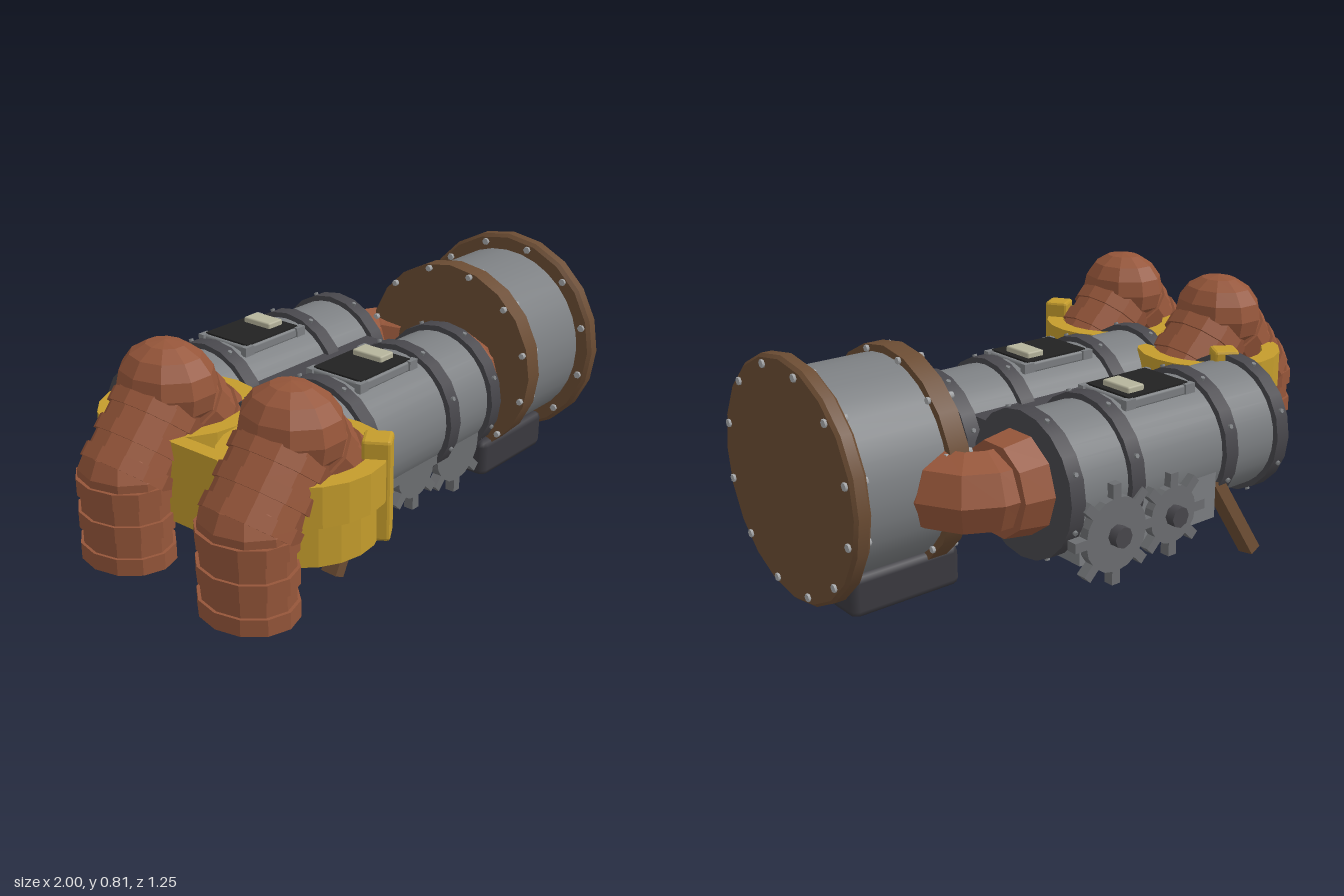
import * as THREE from 'three';
import { RoundedBoxGeometry } from 'three/addons/geometries/RoundedBoxGeometry.js';

const mat = (name, color, flat) => {
  const m = new THREE.MeshStandardMaterial({ color, flatShading: !!flat });
  m.name = name;
  return m;
};

export function createModel() {
  const root = new THREE.Group();
  root.name = 'twinTankMachine';
  const steel = mat('steel grey', 0x7c7f82);
  const dark = mat('dark iron', 0x48474c);
  const brown = mat('brown iron', 0x6b4c33);
  const copper = mat('copper', 0x96563a, true);
  const yellow = mat('yellow clamp', 0xc49c2c, true);
  const black = mat('black panel', 0x222222);
  const beige = mat('beige screen', 0xb6b49c);
  const bolt = mat('bolt silver', 0xa6a8aa);
  const gearGrey = mat('gear grey', 0x6c6e71, true);
  const foot = mat('charcoal', 0x3a393f);

  const add = (name, geo, m, parent = root) => {
    const mesh = new THREE.Mesh(geo, m);
    mesh.name = name;
    parent.add(mesh);
    return mesh;
  };
  const box = (name, x0, x1, y0, y1, z0, z1, m, r = 0) => {
    const s = [x1 - x0, y1 - y0, z1 - z0];
    const g = r ? new RoundedBoxGeometry(...s, 1, r) : new THREE.BoxGeometry(...s);
    g.translate((x0 + x1) / 2, (y0 + y1) / 2, (z0 + z1) / 2);
    return add(name, g, m);
  };
  // cylinder lying along x
  const cylX = (name, x0, x1, y, z, r0, r1, m, sides = 20) => {
    const g = new THREE.CylinderGeometry(r1, r0, x1 - x0, sides);
    g.rotateZ(-Math.PI / 2).translate((x0 + x1) / 2, y, z);
    return add(name, g, m);
  };
  // geometry made along y, laid from point a to point b
  const between = (name, geo, a, b, m, parent) => {
    const mesh = add(name, geo, m, parent);
    const d = b.clone().sub(a).normalize();
    mesh.quaternion.setFromUnitVectors(new THREE.Vector3(0, 1, 0), d);
    mesh.position.copy(a).add(b).multiplyScalar(0.5);
    return mesh;
  };
  const V = (x, y, z = 0) => new THREE.Vector3(x, y, z);

  // Twin tanks with rings, bolts and top panels
  const TY = 0.37;
  for (const z of [0.135, -0.355]) {
    cylX('tankBody', -0.5, 0.42, TY, z, 0.215, 0.215, steel, 32);
    for (const x of [-0.485, -0.245, 0.16, 0.398]) {
      cylX('tankRing', x - 0.027, x + 0.027, TY, z, 0.235, 0.235, dark, 20);
      for (let i = 0; i < 8; i++) {
        const a = ((i + 0.5) / 8) * Math.PI * 2;
        const g = new THREE.CylinderGeometry(0.008, 0.008, 0.012, 6);
        g.translate(0, 0.236, 0).rotateX(a).translate(x, TY, z);
        add('ringBolt', g, steel);
      }
    }
    box('panelFrame', -0.18, 0.095, 0.555, 0.59, z - 0.105, z + 0.105, steel, 0.008);
    for (const sx of [-0.17, 0.085]) for (const sz of [-0.1, 0.1])
      box('panelEar', sx - 0.02, sx + 0.02, 0.56, 0.592, z + sz - 0.012, z + sz + 0.012, steel);
    box('panelFace', -0.17, 0.082, 0.587, 0.596, z - 0.097, z + 0.097, black);
    box('panelScreen', -0.01, 0.058, 0.59, 0.615, z - 0.07, z + 0.05, beige, 0.006);
  }
  box('tankBridge', -0.44, 0.37, 0.2, 0.495, -0.22, 0.0, dark);
  box('gearMount', -0.2, 0.37, 0.16, 0.37, -0.562, -0.4, steel);

  // Gears on both outer sides
  const gear = (x, y, z, r, depth) => {
    const g = new THREE.Group();
    g.name = 'gear';
    g.position.set(x, y, z);
    add('gearDisc', new THREE.CylinderGeometry(r, r, depth, 16).rotateX(Math.PI / 2), gearGrey, g);
    for (let i = 0; i < 8; i++) {
      const t = new THREE.BoxGeometry(0.032, 0.06, depth);
      t.translate(0, r + 0.012, 0).rotateZ((i * Math.PI) / 4);
      add('gearTooth', t, gearGrey, g);
    }
    root.add(g);
  };
  for (const [x, r] of [[0.018, 0.095], [0.253, 0.12]]) {
    gear(x, 0.24, -0.577, r, 0.035);
    add('gearHub', new THREE.CylinderGeometry(0.034, 0.034, 0.05, 8)
      .rotateX(Math.PI / 2).translate(x, 0.24, -0.602), dark);
    gear(x, 0.24, 0.3, r, 0.035);
  }

  // Prop legs
  for (const [z0, z1] of [[0.275, 0.28], [-0.578, -0.53]])
    between('propLeg', new THREE.BoxGeometry(0.042, 0.3, 0.06), V(-0.355, 0.015, z0), V(-0.225, 0.265, z1), brown);

  // Copper couplings into the drum
  cylX('frontCoupling', 0.42, 0.525, 0.38, 0.135, 0.165, 0.16, copper, 10);
  cylX('frontCouplingNeck', 0.52, 0.6, 0.39, 0.115, 0.145, 0.13, copper, 8);
  cylX('backCoupling', 0.42, 0.525, 0.38, -0.355, 0.165, 0.15, copper, 10);
  const elbow = new THREE.CatmullRomCurve3([
    V(0.48, 0.38, -0.355), V(0.55, 0.38, -0.355), V(0.62, 0.38, -0.31), V(0.65, 0.38, -0.2)]);
  add('backElbow', new THREE.TubeGeometry(elbow, 4, 0.128, 8), copper);

  // Large drum with bolted flanges
  const DY = 0.405, DZ = 0.035;
  cylX('drumBody', 0.6, 0.96, DY, DZ, 0.325, 0.325, steel, 32);
  cylX('innerFlange', 0.572, 0.64, DY, DZ, 0.35, 0.35, brown);
  cylX('outerFlange', 0.935, 0.947, DY, DZ, 0.372, 0.384, brown);
  cylX('outerFlangeRim', 0.947, 0.982, DY, DZ, 0.384, 0.384, brown);
  cylX('outerFlangeEdge', 0.982, 0.992, DY, DZ, 0.384, 0.374, brown);
  for (let i = 0; i < 12; i++) {
    const a = ((i + 0.5) / 12) * Math.PI * 2, c = Math.cos(a), s = Math.sin(a);
    cylX('outerBolt', 0.925, 1.0, DY + c * 0.353, DZ + s * 0.353, 0.013, 0.013, bolt, 6);
    cylX('innerBolt', 0.557, 0.65, DY + c * 0.335, DZ + s * 0.335, 0.011, 0.011, bolt, 6);
  }
  box('drumFoot', 0.52, 0.91, 0, 0.14, -0.17, 0.25, foot, 0.025);

  // Ribbed exhaust pipes
  for (const z of [-0.093, 0.403]) {
    const pipe = new THREE.Group();
    pipe.name = 'exhaustPipe';
    pipe.position.z = z;
    pipe.scale.z = 1.18;
    root.add(pipe);
    const leg = (a, b, n) => {
      for (let i = 0; i < n; i++) {
        const p = a.clone().lerp(b, i / n), q = a.clone().lerp(b, (i + 1) / n);
        const r = i % 2 ? 0.125 : 0.134;
        between('pipeRib', new THREE.CylinderGeometry(r, r, p.distanceTo(q), 12), p, q, copper, pipe);
      }
    };
    leg(V(-0.868, 0.172), V(-0.868, 0.435), 5);
    leg(V(-0.865, 0.43), V(-0.69, 0.638), 6);
    leg(V(-0.47, 0.42), V(-0.67, 0.638), 6);
    add('pipeKnee', new THREE.SphereGeometry(0.132, 10, 7).translate(-0.865, 0.43, 0), copper, pipe);
    add('pipeCrown', new THREE.SphereGeometry(0.142, 10, 8).translate(-0.68, 0.66, 0), copper, pipe);
  }

  // Yellow clamps around the pipes, mirrored front to back
  const band = (r0, r1, y0, y1, start, len, segs) => new THREE.LatheGeometry(
    [[r0, y0], [r1, y0], [r1, y1], [r0, y1], [r0, y0]].map(p => new THREE.Vector2(...p)), segs, start, len);
  const seam = 0.56;
  for (const side of [1, -1]) {
    const clamp = new THREE.Group();
    clamp.name = 'clamp';
    clamp.position.set(-0.6, 0, side > 0 ? 0.37 : -0.13);
    if (side < 0) clamp.rotation.y = 0;
    root.add(clamp);
    add('clampBand', band(0.19, 0.25, 0.435, 0.56, 0, Math.PI * 2, 20), yellow, clamp);
    add('clampSkirt', band(0.18, 0.225, 0.302, 0.44, Math.PI - seam, Math.PI + 2 * seam, 14), yellow, clamp);
    for (const phi of [seam, Math.PI - seam]) {
      const outer = (phi < 1) === (side > 0);
      const g = new RoundedBoxGeometry(0.085, outer ? 0.315 : 0.26, 0.085, 1, 0.01);
      g.translate(0, outer ? 0.458 : 0.43, 0.215).rotateY(phi);
      add('clampBlock', g, yellow, clamp);
    }
  }
  box('clampLink', -0.81, -0.76, 0.302, 0.56, 0.0, 0.26, yellow);

  return root;
}
